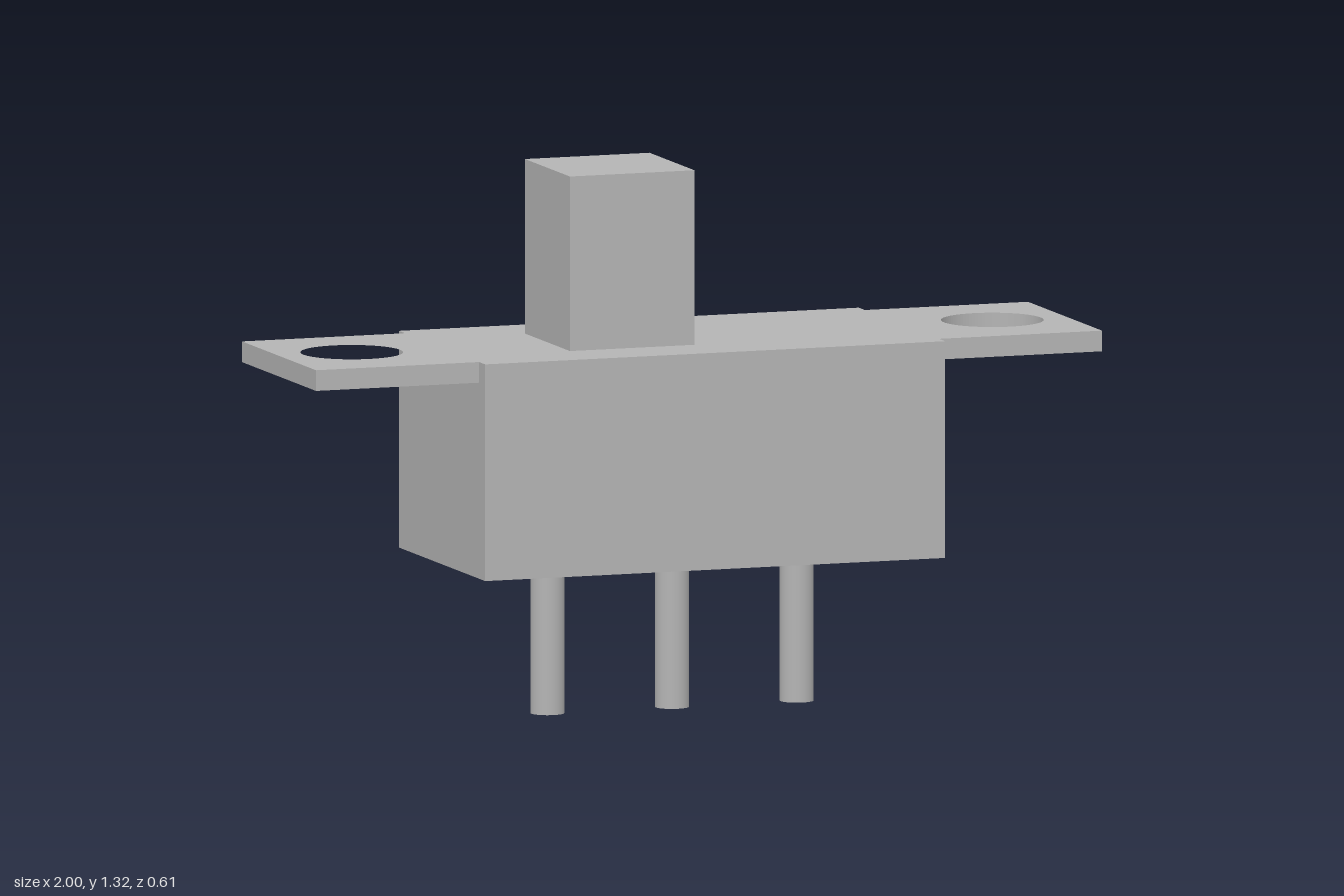
import * as THREE from 'three';

export function createModel() {
  const group = new THREE.Group();
  const grey = new THREE.MeshStandardMaterial({ color: 0xb4b4b4 });
  grey.name = 'grey';

  const add = (name, geometry, x, y, z = 0) => {
    const mesh = new THREE.Mesh(geometry, grey);
    mesh.name = name;
    mesh.position.set(x, y, z);
    group.add(mesh);
    return mesh;
  };

  const bottom = 0.372, top = 0.896, bodyHalf = 0.585;

  // Switch housing
  add('housing', new THREE.BoxGeometry(2 * bodyHalf, top - bottom, 0.61), 0, (top + bottom) / 2);

  // Sliding knob, pushed to one end
  const knobHeight = 1.318 - top;
  add('knob', new THREE.BoxGeometry(0.317, knobHeight, 0.318), -0.1585, top + knobHeight / 2);

  // Mounting tabs with screw holes, flush with the top of the housing
  const tabDepth = 0.262, tabThickness = 0.05;
  for (const [name, side] of [['leftTab', 1], ['rightTab', -1]]) {
    const inner = side * bodyHalf;
    const shape = new THREE.Shape([
      new THREE.Vector2(inner, -tabDepth),
      new THREE.Vector2(side, -tabDepth),
      new THREE.Vector2(side, tabDepth),
      new THREE.Vector2(inner, tabDepth),
    ]);
    const hole = new THREE.Path();
    hole.absarc(side * 0.815, 0, 0.123, 0, Math.PI * 2, true);
    shape.holes.push(hole);
    const geometry = new THREE.ExtrudeGeometry(shape, {
      depth: tabThickness, bevelEnabled: false, curveSegments: 48,
    });
    geometry.rotateX(-Math.PI / 2);
    add(name, geometry, 0, top - tabThickness);
  }

  // Three round terminal pins
  ['rightPin', 'middlePin', 'leftPin'].forEach((name, i) => {
    add(name, new THREE.CylinderGeometry(0.041, 0.041, bottom, 32), (i - 1) * 0.317, bottom / 2);
  });

  return group;
}
